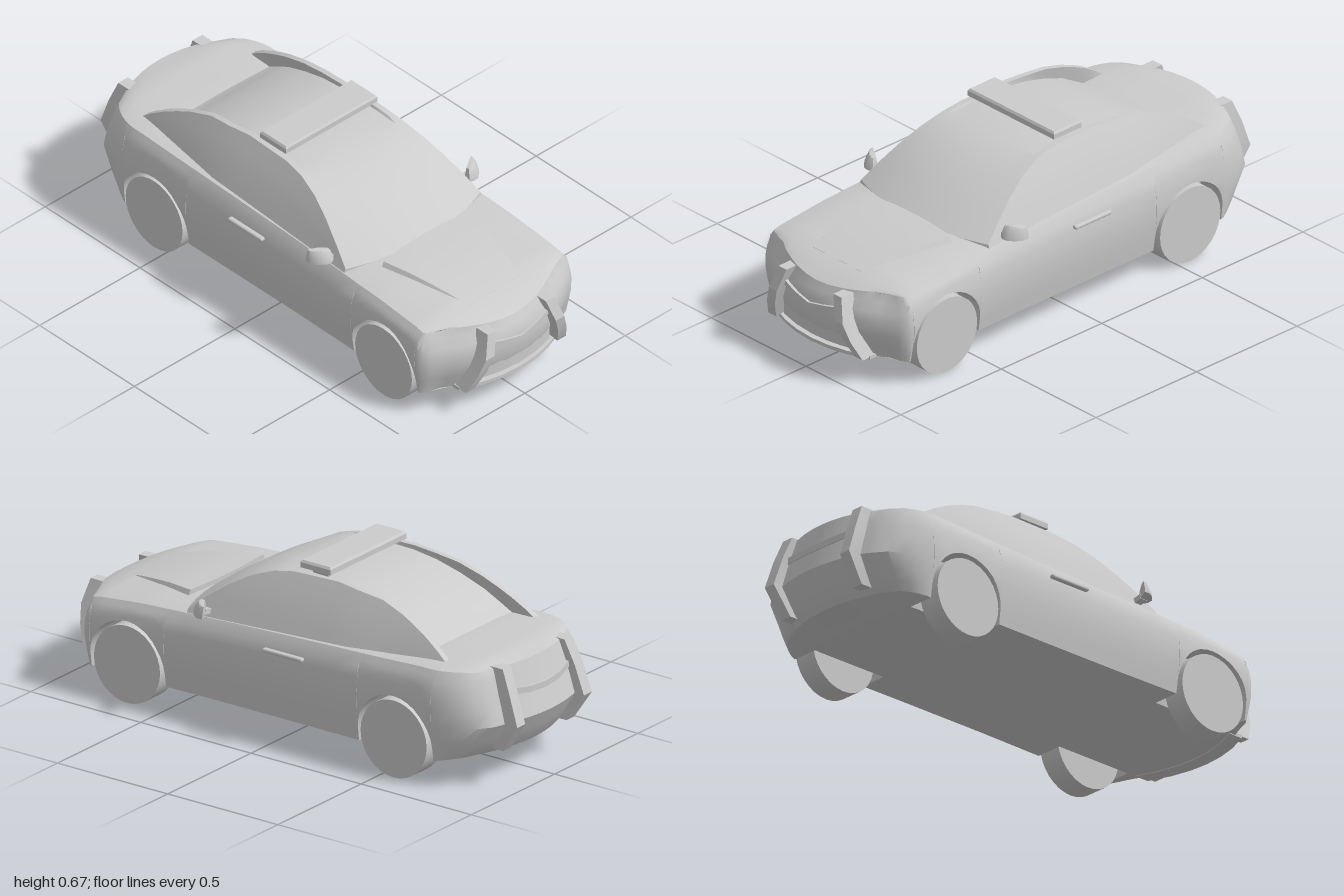
import * as THREE from 'three';
import { toCreasedNormals } from 'three/addons/utils/BufferGeometryUtils.js';
import { RoundedBoxGeometry } from 'three/addons/geometries/RoundedBoxGeometry.js';

const material = new THREE.MeshStandardMaterial({ color: 0xcccccc, side: THREE.DoubleSide });
const AXLES = [0.655, -0.555];
const ARCH = 0.168;

// Piecewise linear lookup in a list of [key, value], keys ascending
function at(table, v) {
  if (v <= table[0][0]) return table[0][1];
  for (let i = 1; i < table.length; i++) {
    const [k0, v0] = table[i - 1], [k1, v1] = table[i];
    if (v <= k1) return v0 + (v1 - v0) * (v - k0) / (k1 - k0);
  }
  return table[table.length - 1][1];
}

// Box with grid lines at the given stations, every vertex placed by a rule
function shapeBox(name, xs, ys, zs, rule, crease = 0.6) {
  const g = new THREE.BoxGeometry(2, 2, 2, xs.length - 1, ys.length - 1, zs.length - 1);
  const p = g.attributes.position;
  const pick = (list, v) => list[Math.round((v + 1) / 2 * (list.length - 1))];
  for (let i = 0; i < p.count; i++) {
    p.setXYZ(i, ...rule(pick(xs, p.getX(i)), pick(ys, p.getY(i)), pick(zs, p.getZ(i))));
  }
  g.deleteAttribute('uv');
  return part(name, toCreasedNormals(g, crease));
}

function part(name, geometry, x = 0, y = 0, z = 0) {
  const m = new THREE.Mesh(geometry, material);
  m.name = name;
  m.position.set(x, y, z);
  return m;
}

const mirrored = half => [...half.map(v => -v).reverse(), 0, ...half];
const PAIR = [-1, 1];

// Height of bonnet, waist and boot along z
const deckLine = [[-0.94, 0.452], [-0.85, 0.468], [-0.65, 0.466], [-0.5, 0.458], [0, 0.438], [0.3, 0.425],
  [0.48, 0.416], [0.6, 0.41], [0.8, 0.39], [0.85, 0.378], [0.9, 0.362], [0.96, 0.335]];
const deck = (a, z) => at(deckLine, z) - 0.02 * a ** 4;

// Plan taper, flank curve and end profiles
const planWidth = [[-0.985, 0.27], [-0.94, 0.315], [-0.88, 0.345], [-0.82, 0.364], [-0.76, 0.377], [-0.7, 0.384],
  [-0.2, 0.38], [0.2, 0.38], [0.5, 0.385], [0.83, 0.385], [0.88, 0.375], [0.93, 0.35], [0.98, 0.308]];
const flank = [[0, 0.95], [0.3, 0.985], [0.5, 1], [0.7, 0.99], [0.88, 0.96], [1, 0.9]];
const noseProfile = [[0.1, -0.03], [0.2, 0], [0.28, 0], [0.34, -0.03]];
const tailProfile = [[0.1, -0.1], [0.14, -0.065], [0.25, 0], [0.45, -0.06]];
const noseZ = (x, y) => 0.98 - 0.09 * (x / 0.31) ** 2 + at(noseProfile, y);
const tailZ = (x, y) => -0.985 + 0.06 * (x / 0.27) ** 2 - at(tailProfile, y);

function bodyRule(a, b, u) {
  const front = u > 0;
  const t = Math.max(0, front ? (u - 0.83) / 0.15 : (-u - 0.725) / 0.26);
  const dir = front ? 1 : -1;
  const plan = u - dir * t * (front ? 0.09 : 0.06) * a * a;
  const top = deck(a, plan - dir * 0.03 * t);
  // Floor, lifted into round wheel arches at the flanks
  let floor = 0.1 + (front ? 0 : 0.02 * t);
  for (const c of AXLES) {
    const d = Math.abs(u - c);
    if (Math.abs(a) > 0.71 && d < ARCH + 1e-4) floor = 0.15 + Math.sqrt(Math.max(0, ARCH ** 2 - d * d));
  }
  const y = floor + b * (top - floor);
  const rel = (y - 0.1) / (deck(1, plan) - 0.1);
  const z = plan + dir * t * at(front ? noseProfile : tailProfile, y);
  return [a * at(planWidth, u) * at(flank, rel), y, z];
}

function makeBody() {
  const zs = [-0.985, -0.94, -0.88, -0.82, -0.76, -0.3, -0.15, 0, 0.2, 0.4, 0.83, 0.88, 0.93, 0.98];
  for (const c of AXLES) {
    zs.push(c - ARCH - 0.0006, c + ARCH + 0.0006);
    for (let k = 0; k <= 16; k++) zs.push(c + ARCH * Math.cos(Math.PI * k / 16));
  }
  zs.sort((p, q) => p - q);
  return shapeBox('body', mirrored([0.2, 0.4, 0.55, 0.7, 0.72, 0.82, 0.92, 1]),
    [0, 0.1, 0.22, 0.4, 0.6, 0.75, 0.88, 1], zs, bodyRule);
}

// Cabin: raised pillars run beside a lower roof and rear window
const pillarLine = [[-0.72, 0.455], [-0.68, 0.485], [-0.6, 0.535], [-0.5, 0.58], [-0.4, 0.612], [-0.2, 0.632],
  [0, 0.626], [0.1, 0.611], [0.2, 0.58], [0.3, 0.532], [0.4, 0.47], [0.48, 0.414]];
const roofLine = [[-0.72, 0.43], [-0.62, 0.462], [-0.5, 0.535], [-0.35, 0.595], [-0.2, 0.622],
  [0, 0.624], [0.1, 0.61], [0.2, 0.58], [0.3, 0.532], [0.4, 0.47], [0.48, 0.414]];

function makeCabin() {
  const zs = [-0.72, -0.68, -0.62, -0.56, -0.5, -0.4, -0.3, -0.2, -0.1, 0, 0.05, 0.1, 0.15, 0.2, 0.25, 0.3, 0.35, 0.4, 0.48];
  return shapeBox('cabin', mirrored([0.25, 0.5, 0.7, 0.87, 0.91, 1]), [0, 0.25, 0.5, 0.75, 1], zs, (a, b, u) => {
    const edge = Math.abs(a) > 0.9;
    const top = edge ? at(pillarLine, u) : at(roofLine, u) - (u < 0.1 ? 0.008 * a * a : 0);
    const base = at(deckLine, u) - 0.04;
    const y = base + b * (top - base);
    const h = (y - 0.42) / 0.21;
    const side = 0.333 - 0.096 * h + 0.012 * Math.max(0, h * (1 - h)) * 2;
    const taper = at([[-0.72, 0.88], [-0.3, 1]], u);
    return [a * side * taper, y, u - (u > 0 ? 0.07 * a * a * u / 0.48 : 0)];
  });
}

// Raised centre panel of the bonnet
function makeBonnetPanel() {
  return shapeBox('bonnetPanel', mirrored([0.4, 0.75, 0.93, 1]), [0, 1], [0.49, 0.54, 0.6, 0.68, 0.76, 0.84], (a, b, u) => {
    const width = at([[0.49, 0.235], [0.6, 0.205], [0.84, 0.14]], u);
    const rise = at([[0.49, 0.018], [0.65, 0.013], [0.84, 0]], u);
    const x = a * width;
    const z = u + 0.02 * (1 - a * a) * (u < 0.5 ? -1 : 0);
    const y = deck(x / 0.345, z) + (b && Math.abs(a) < 0.99 ? rise : -0.012);
    return [x, y, z];
  });
}

// Bar of rectangular section through a few points [x, y, z]
function bar(name, points, half, upright) {
  const steps = points.map((_, i) => i);
  const place = (i, p, q) => upright
    ? [points[i][0] + p * half[0], points[i][1], points[i][2] + q * half[1]]
    : [points[i][0], points[i][1] + p * half[0], points[i][2] + q * half[1]];
  return upright
    ? shapeBox(name, PAIR, steps, PAIR, (a, i, u) => place(i, a, u), 0.3)
    : shapeBox(name, steps, PAIR, PAIR, (i, b, u) => place(i, b, u), 0.3);
}

export function createModel() {
  const car = new THREE.Group();
  car.name = 'car';
  car.add(makeBody(), makeCabin(), makeBonnetPanel());

  // Wheels
  const wheel = new THREE.CylinderGeometry(0.15, 0.15, 0.093, 32).rotateZ(Math.PI / 2);
  for (const z of AXLES) for (const s of PAIR) car.add(part('wheel', wheel, s * 0.3315, 0.15, z));

  for (const s of PAIR) {
    // Upright bumper bars, front and rear
    const front = [[0.228, 0.105], [0.2, 0.18], [0.174, 0.25], [0.145, 0.342]];
    car.add(bar('frontBumperBar', front.map(([x, y]) => [s * x, y, noseZ(x, y) + 0.02]), [0.021, 0.03], true));
    const rear = [[0.19, 0.14, -0.9], [0.2, 0.25, -0.972], [0.195, 0.36, -0.935], [0.185, 0.455, -0.895]];
    car.add(bar('rearBumperBar', rear.map(([x, y, z]) => [s * x, y, z]), [0.024, 0.028], true));

    // Wing mirror: tapered housing on a short arm
    car.add(shapeBox('wingMirror', [-1, -0.6, 0, 0.6, 1], [0, 0.3, 0.85, 1], [0, 0.6, 1], (a, b, u) => {
      const w = 0.039 - 0.009 * b * b;
      const nose = u * (1 - 0.5 * a * a) * (1 - 0.5 * b * b);
      return [s * 0.377 + a * w, 0.425 + 0.05 * b - 0.004 * a * a * b, 0.305 - s * a * 0.02 + nose * 0.05];
    }, 0.9));
    const arm = part('mirrorArm', new THREE.BoxGeometry(0.06, 0.02, 0.03), s * 0.335, 0.427, 0.325);
    arm.rotation.z = s * 0.2;
    car.add(arm);

    // Door handle and light bar foot
    car.add(part('doorHandle', new RoundedBoxGeometry(0.022, 0.016, 0.18, 2, 0.007), s * 0.386, 0.361, -0.06));
    const foot = part('lightBarFoot', new THREE.BoxGeometry(0.018, 0.05, 0.07), s * 0.187, 0.63, -0.085);
    foot.rotation.z = -s * 0.45;
    car.add(foot);
  }

  // Grille chevron, lower grille slats and lip
  const across = (name, xs, yOf, zOf, out, half) =>
    car.add(bar(name, xs.map(x => [x, yOf(x), zOf(x, yOf(x)) + out]), half, false));
  across('grilleChevron', mirrored([0.08, 0.155]), x => 0.25 + 0.19 * Math.abs(x), noseZ, 0, [0.01, 0.01]);
  across('grilleSlat', mirrored([0.09, 0.18]), () => 0.15, noseZ, 0, [0.025, 0.006]);
  across('frontLip', mirrored([0.08, 0.16, 0.25]), () => 0.104, noseZ, -0.005, [0.007, 0.03]);
  across('rearTrim', mirrored([0.09, 0.18]), x => 0.345 + 0.5 * x * x, tailZ, 0, [0.012, 0.008]);

  // Roof light bar, slightly tapered at the top
  car.add(shapeBox('lightBar', [-1, 1], [0, 0.7, 1], [-1, 1], (a, b, u) => {
    const k = b > 0.9 ? 0.006 : 0;
    return [a * (0.228 - k), 0.643 + 0.029 * b, -0.087 + u * (0.068 - k)];
  }, 0.3));
  return car;
}
